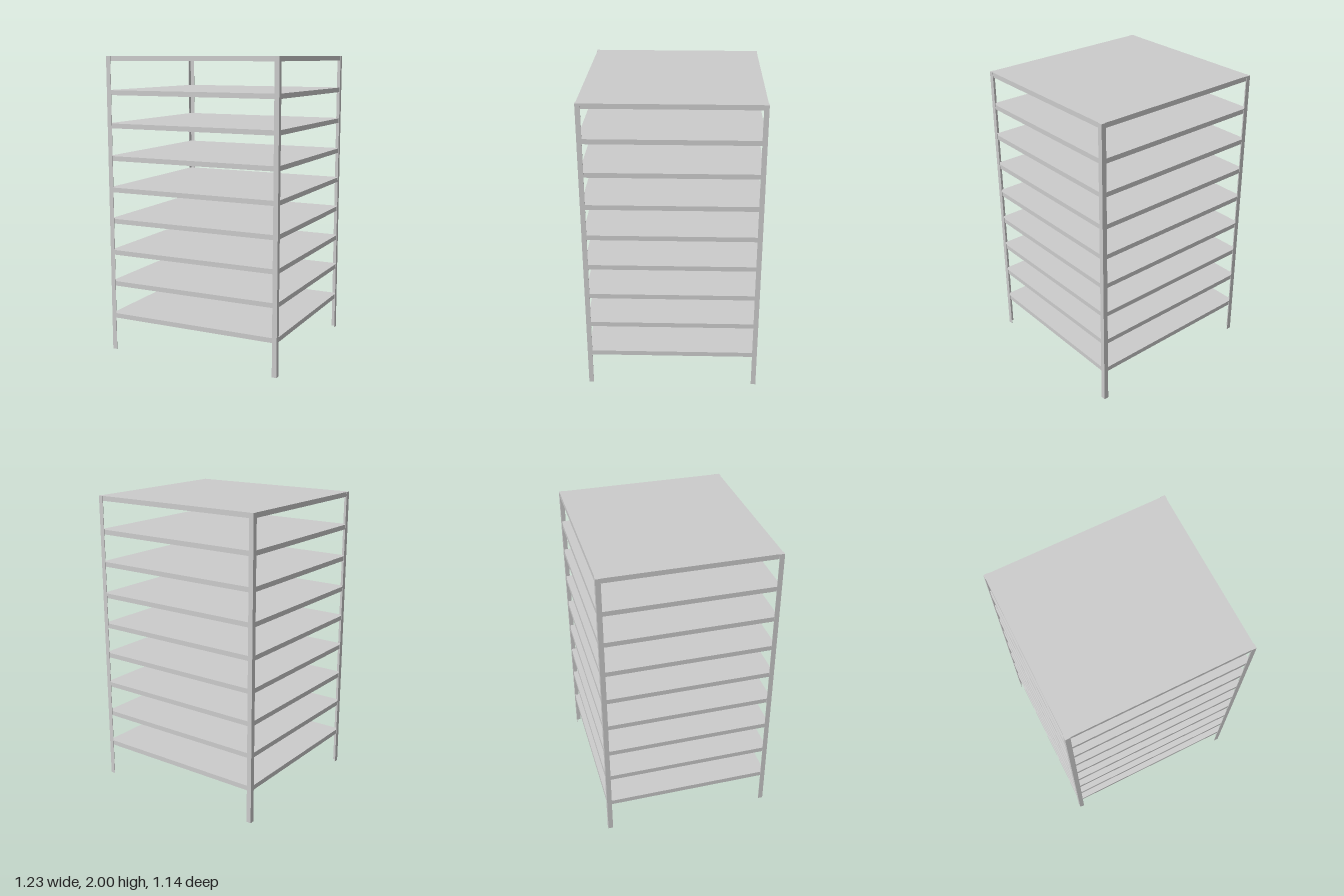
import * as THREE from 'three';

const W = 0.614, D = 0.571, H = 2; // half width, half depth, height
const T = 0.003;                   // sheet thickness
const LEG = 0.032, LIP = 0.032;    // post flange width, shelf lip height
const SHELF_TOPS = [0.257, 0.485, 0.702, 0.918, 1.131, 1.343, 1.56, 1.778, 2];

const material = new THREE.MeshStandardMaterial({ color: 0xcccccc });

function box(parent, name, w, h, d, x, y, z) {
  const mesh = new THREE.Mesh(new THREE.BoxGeometry(w, h, d), material);
  mesh.name = name;
  mesh.position.set(x, y, z);
  parent.add(mesh);
}

// Folded sheet tray: flat deck with a lip turned down on each side
function makeShelf(top) {
  const shelf = new THREE.Group();
  shelf.name = 'shelf';
  const w = W - T, d = D - T;
  box(shelf, 'deck', 2 * w, T, 2 * d, 0, top - T / 2, 0);
  const lipH = LIP - T, y = top - T - lipH / 2;
  for (const s of [-1, 1]) {
    box(shelf, 'longLip', 2 * w, lipH, T, 0, y, s * (d - T / 2));
    box(shelf, 'sideLip', T, lipH, 2 * (d - T), s * (w - T / 2), y, 0);
  }
  return shelf;
}

// L-section upright with its corner pointing outwards
function makePost(sx, sz) {
  const s = new THREE.Shape();
  const points = [[0, 0], [LEG, 0], [LEG, T], [T, T], [T, LEG], [0, LEG]]
    .map(([a, b]) => new THREE.Vector2(sx * (W - a), -sz * (D - b)));
  s.setFromPoints(points);
  const geometry = new THREE.ExtrudeGeometry(s, { depth: H, bevelEnabled: false });
  geometry.rotateX(-Math.PI / 2);
  const post = new THREE.Mesh(geometry, material);
  post.name = 'cornerPost';
  return post;
}

export function createModel() {
  const rack = new THREE.Group();
  rack.name = 'shelvingRack';
  for (const top of SHELF_TOPS) rack.add(makeShelf(top));
  for (const sx of [-1, 1]) for (const sz of [-1, 1]) rack.add(makePost(sx, sz));
  return rack;
}
